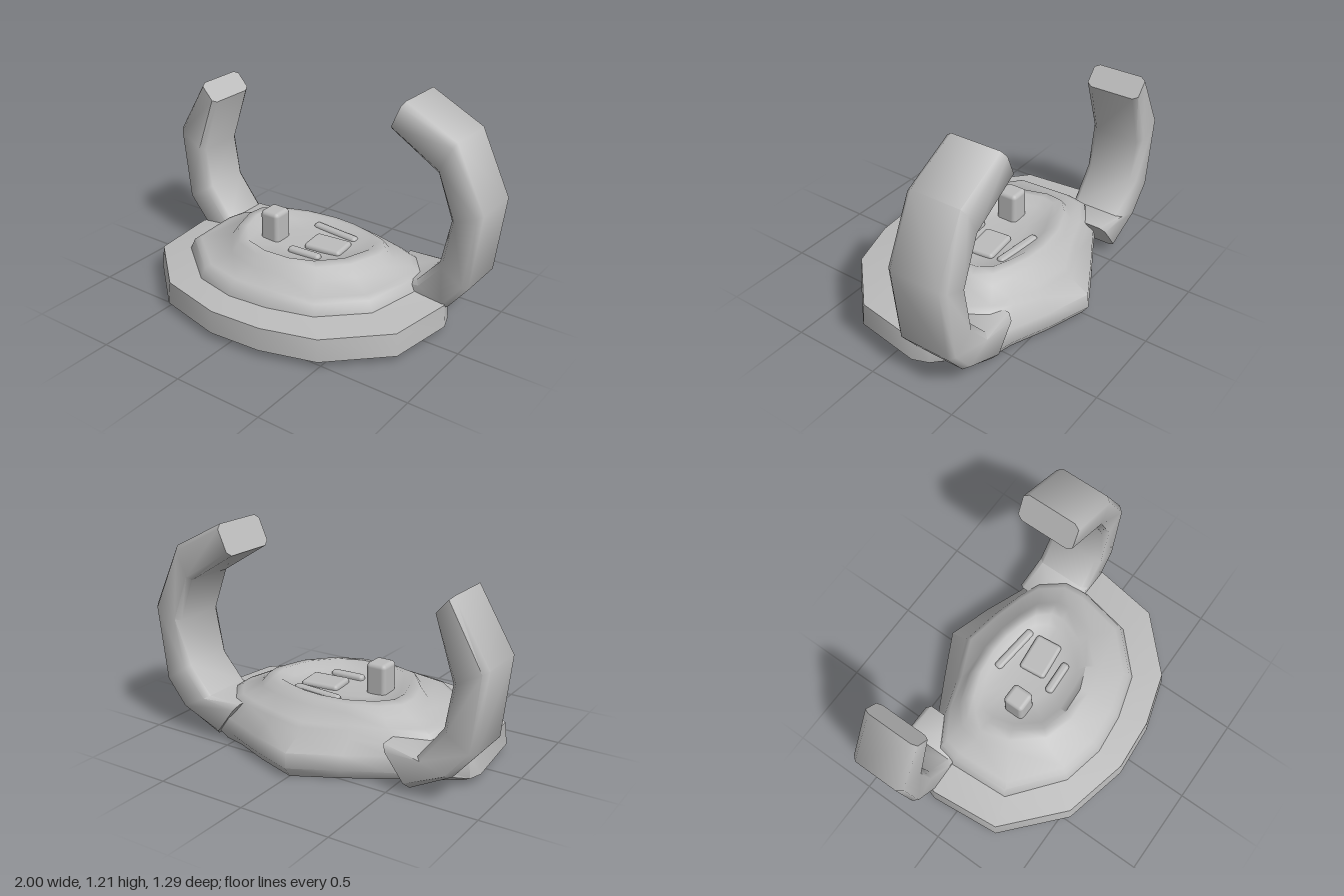
import * as THREE from 'three';
import { toCreasedNormals } from 'three/addons/utils/BufferGeometryUtils.js';
import { RoundedBoxGeometry } from 'three/addons/geometries/RoundedBoxGeometry.js';

// Skin a stack of equal-length closed rings and cap both ends at their centres.
function loft(rings, crease) {
  const n = rings[0].length;
  const pts = rings.flat();
  const index = [];
  for (let r = 0; r < rings.length - 1; r++) {
    for (let i = 0; i < n; i++) {
      const a = r * n + i, b = r * n + (i + 1) % n;
      index.push(a, b, b + n, a, b + n, a + n);
    }
  }
  const cap = (r, flip) => {
    const c = new THREE.Vector3();
    rings[r].forEach((p) => c.addScaledVector(p, 1 / n));
    const k = pts.push(c) - 1;
    for (let i = 0; i < n; i++) {
      const a = r * n + i, b = r * n + (i + 1) % n;
      index.push(k, flip ? b : a, flip ? a : b);
    }
  };
  cap(0, true);
  cap(rings.length - 1, false);

  // Turn the faces outward whichever way the rings run.
  let volume = 0;
  const cross = new THREE.Vector3();
  for (let i = 0; i < index.length; i += 3) {
    volume += pts[index[i]].dot(cross.crossVectors(pts[index[i + 1]], pts[index[i + 2]]));
  }
  if (volume < 0) index.reverse();
  const geometry = new THREE.BufferGeometry().setFromPoints(pts);
  geometry.setIndex(index);
  return toCreasedNormals(geometry, crease);
}

// Plan outlines as [x, z], from the back centre round by +x.
const EDGE = [[0, -0.65], [0.25, -0.57], [0.47, -0.48], [0.6, -0.45], [0.82, -0.22], [0.85, -0.13],
  [0.79, 0.25], [0.5, 0.53], [0.2, 0.62], [-0.1, 0.64], [-0.48, 0.55], [-0.8, 0.26],
  [-0.84, -0.14], [-0.82, -0.22], [-0.47, -0.4], [-0.25, -0.52]];
const TIER = [[0, -0.52], [0.22, -0.48], [0.4, -0.43], [0.52, -0.38], [0.62, -0.25], [0.63, -0.12],
  [0.57, 0.17], [0.36, 0.37], [0.12, 0.44], [-0.1, 0.46], [-0.33, 0.41], [-0.6, 0.19],
  [-0.62, -0.14], [-0.6, -0.25], [-0.44, -0.35], [-0.23, -0.42]];
const RIM = [[0, -0.36], [0.13, -0.35], [0.25, -0.32], [0.36, -0.28], [0.43, -0.2], [0.44, -0.12],
  [0.38, 0.06], [0.25, 0.2], [0.1, 0.26], [-0.08, 0.27], [-0.25, 0.22], [-0.38, 0.06],
  [-0.43, -0.1], [-0.42, -0.2], [-0.33, -0.28], [-0.17, -0.34]];

// Scale an outline about the dish centre; its height blends from front to back.
function ring(outline, scale, front, back) {
  const cz = -0.08;
  return outline.map(([x, z]) => {
    const t = THREE.MathUtils.smoothstep(-z, 0.1, 0.5);
    return new THREE.Vector3(x * scale, THREE.MathUtils.lerp(front, back, t), cz + (z - cz) * scale);
  });
}

// Arm stations: outer x, outer y, inner x, inner y, from the foot to the tip.
const ARM_LEFT = [[0.6, 0.03, 0.45, 0.23], [0.84, 0.14, 0.65, 0.24], [0.95, 0.28, 0.78, 0.39],
  [1, 0.71, 0.83, 0.64], [0.83, 1.06, 0.74, 0.88], [0.53, 1.21, 0.46, 1.05]];
const ARM_RIGHT = [[-0.6, 0.03, -0.45, 0.23], [-0.83, 0.15, -0.64, 0.21], [-0.95, 0.29, -0.78, 0.39],
  [-1, 0.72, -0.82, 0.62], [-0.81, 1.04, -0.72, 0.94]];

// Bevelled rectangular section across each station.
function armGeometry(stations, zFront, zBack) {
  const u = 0.14, d = 0.03;
  const section = [[u, zFront], [1 - u, zFront], [1, zFront - d], [1, zBack + d],
    [1 - u, zBack], [u, zBack], [0, zBack + d], [0, zFront - d]];
  return loft(stations.map(([ox, oy, ix, iy]) => section.map(([t, z]) =>
    new THREE.Vector3(ox + (ix - ox) * t, oy + (iy - oy) * t, z))), 0.95);
}

export function createModel() {
  const group = new THREE.Group();
  const grey = new THREE.MeshStandardMaterial({ color: 0xbcbcbc });
  grey.name = 'grey';
  const add = (name, geometry) => {
    const mesh = new THREE.Mesh(geometry, grey);
    mesh.name = name;
    group.add(mesh);
    return mesh;
  };

  // Stepped base rising to a shallow dish
  add('base', loft([
    ring(EDGE, 0.93, 0.02, 0.002),
    ring(EDGE, 1, 0.04, 0.06),
    ring(EDGE, 0.985, 0.165, 0.14),
    ring(TIER, 1.04, 0.185, 0.2),
    ring(TIER, 1.0, 0.245, 0.235),
    ring(TIER, 0.94, 0.26, 0.255),
    ring(RIM, 1.1, 0.285, 0.31),
    ring(RIM, 1.0, 0.345, 0.335),
    ring(RIM, 0.86, 0.355, 0.34),
    ring(RIM, 0.74, 0.315, 0.325),
    ring(RIM, 0.4, 0.305, 0.31),
  ], 0.95));

  // Curved arms at the sides
  add('leftArm', armGeometry(ARM_LEFT, -0.135, -0.475));
  add('rightArm', armGeometry(ARM_RIGHT, -0.15, -0.47));

  // Small post standing in the dish
  const post = add('post', new RoundedBoxGeometry(0.12, 0.2, 0.125, 2, 0.025));
  post.position.set(-0.18, 0.375, -0.02);

  // Low raised lumps on the dish floor: x, z, width, depth, turn
  const lumps = [[0.13, -0.09, 0.22, 0.16, 0.1], [0.08, -0.24, 0.3, 0.05, -0.1], [0.08, 0.06, 0.2, 0.05, 0.05]];
  for (const [x, z, w, d, turn] of lumps) {
    const lump = add('dishLump', new RoundedBoxGeometry(w, 0.05, d, 2, 0.02));
    lump.position.set(x, 0.308, z);
    lump.rotation.y = turn;
  }
  return group;
}
